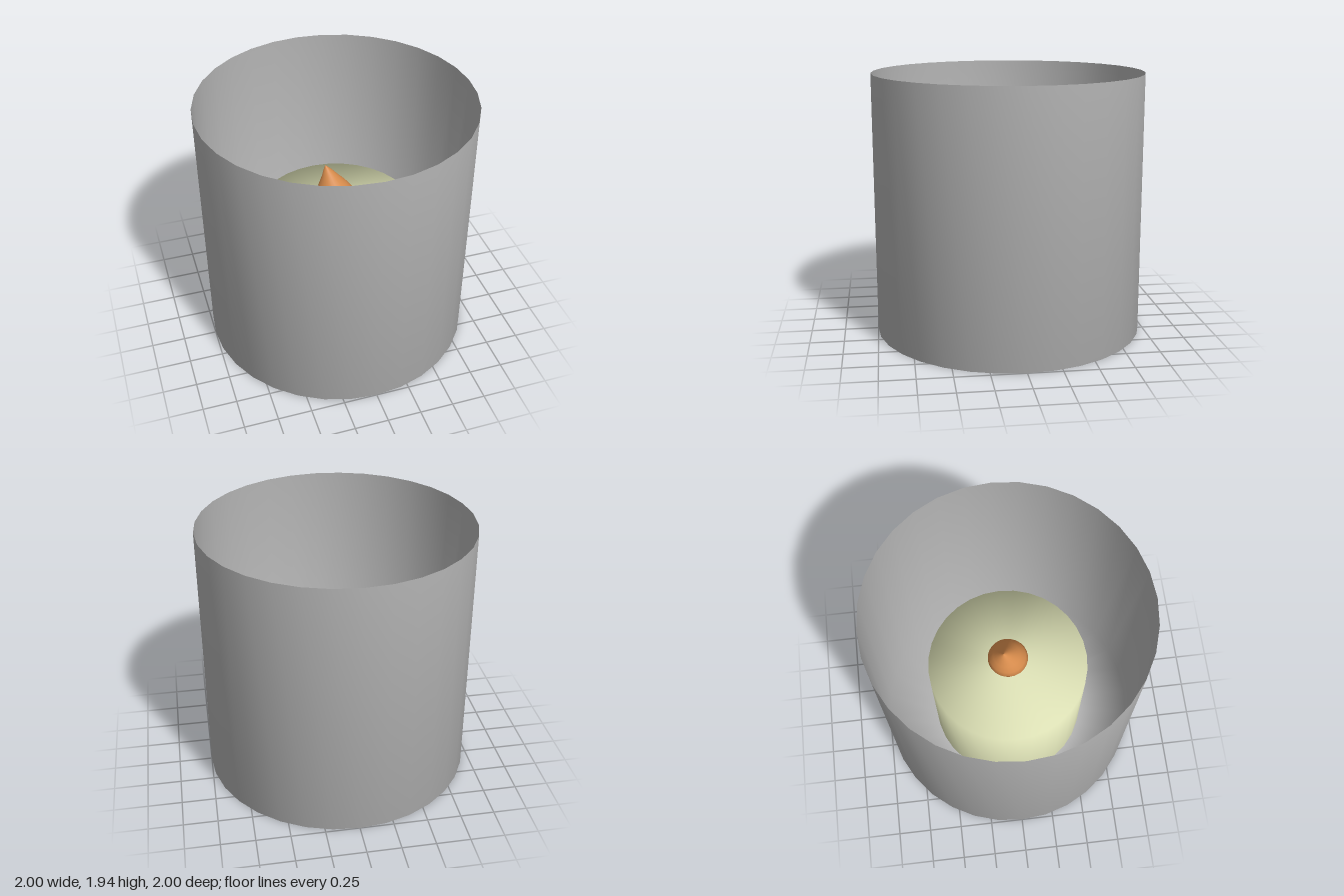
import * as THREE from 'three';

const material = (name, color, side = THREE.FrontSide) => {
  const m = new THREE.MeshStandardMaterial({ color, side });
  m.name = name;
  return m;
};

const lathe = (points, segments) =>
  new THREE.LatheGeometry(points.map(([r, y]) => new THREE.Vector2(r, y)), segments);

export function createModel() {
  const group = new THREE.Group();
  group.name = 'candleInHolder';

  const grey = material('holderGrey', 0xb4b4b4, THREE.DoubleSide);
  const cream = material('waxCream', 0xe0e4b8);
  const orange = material('flameOrange', 0xd88c4c);

  const add = (name, geometry, mat) => {
    const mesh = new THREE.Mesh(geometry, mat);
    mesh.name = name;
    group.add(mesh);
    return mesh;
  };

  // Thin open holder: floor ring and wall share one smooth surface
  add('holder', lathe([[0.6, 0], [1, 0], [1, 1.94]], 32), grey);

  // Candle, softly shaded over its top edge, with a flat base
  const height = 1.0;
  add('candle', lathe([[0.6, 0], [0.6, height], [0, height]], 32), cream);
  const base = add('candleBase', new THREE.CircleGeometry(0.6, 32), cream);
  base.rotation.x = Math.PI / 2;

  // Teardrop flame whose tip leans to one side
  const flame = lathe([
    [0, 0], [0.08, 0.02], [0.13, 0.06], [0.15, 0.12], [0.135, 0.18],
    [0.1, 0.24], [0.06, 0.3], [0.03, 0.35], [0, 0.39],
  ], 24);
  const pos = flame.attributes.position;
  for (let i = 0; i < pos.count; i++) {
    const lean = Math.max(0, (pos.getY(i) - 0.12) / 0.27) ** 1.5;
    pos.setX(i, pos.getX(i) - 0.07 * lean);
    pos.setZ(i, pos.getZ(i) - 0.04 * lean);
  }
  add('flame', flame, orange).position.y = height;

  return group;
}
